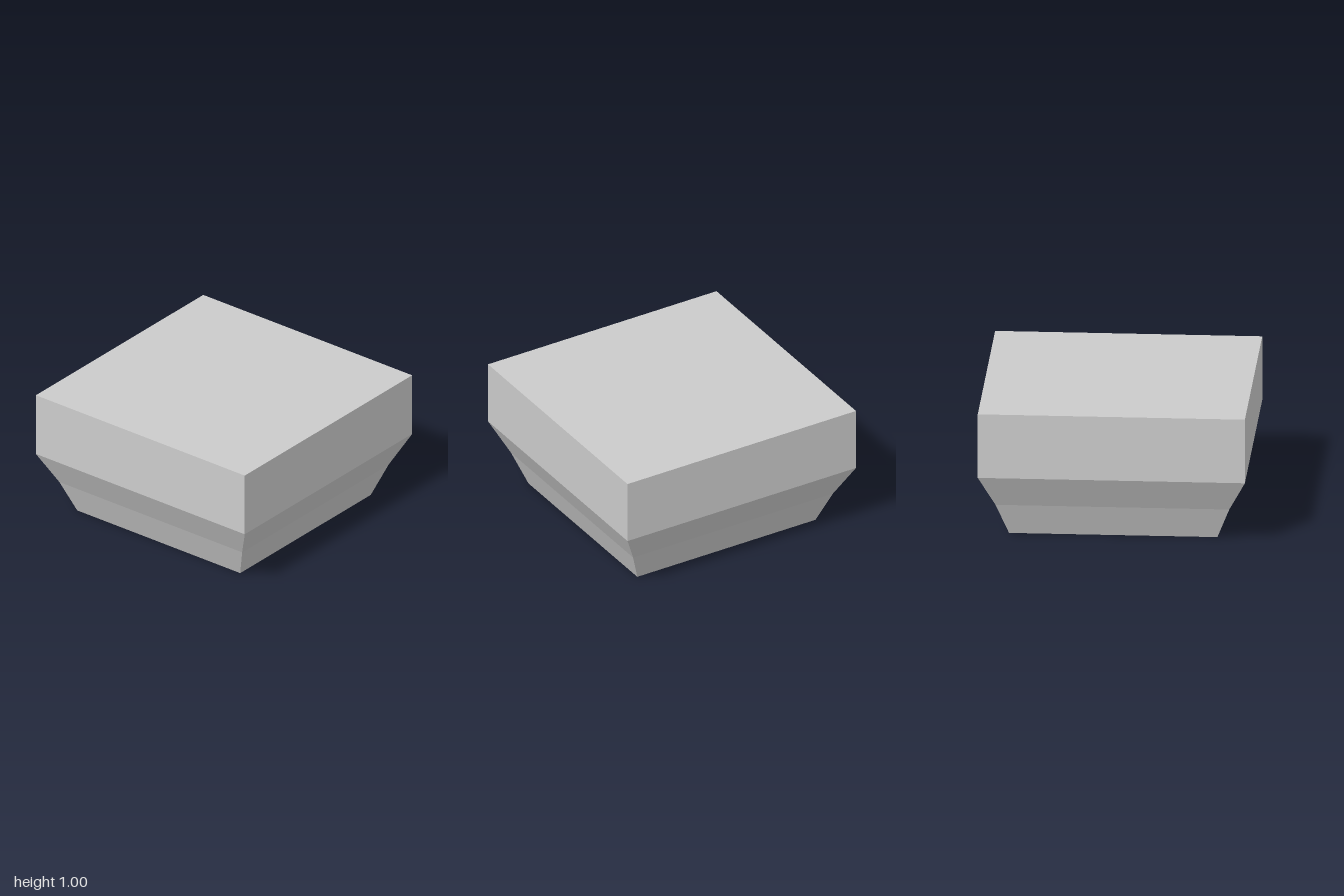
import * as THREE from 'three';

// Half-width and height of each square section, bottom to top
const PROFILE = [
  [0.78, 0],
  [0.875, 0.25],
  [1, 0.5],
  [1, 1],
];

// A box with one row of faces per profile step, each row scaled to its section
function squareLoft(profile) {
  const steps = profile.length - 1;
  const geometry = new THREE.BoxGeometry(2, steps, 2, 1, steps, 1);
  const pos = geometry.attributes.position;
  for (let i = 0; i < pos.count; i++) {
    const [half, y] = profile[Math.round(pos.getY(i) + steps / 2)];
    pos.setXYZ(i, Math.sign(pos.getX(i)) * half, y, Math.sign(pos.getZ(i)) * half);
  }
  const flat = geometry.toNonIndexed();
  flat.computeVertexNormals();
  return flat;
}

export function createModel() {
  const group = new THREE.Group();
  group.name = 'taperedBlock';

  // Square slab on a two-stage tapered base
  const material = new THREE.MeshStandardMaterial({ color: 0xcccccc, flatShading: true });
  const block = new THREE.Mesh(squareLoft(PROFILE), material);
  block.name = 'blockWithTaperedBase';
  group.add(block);

  return group;
}
